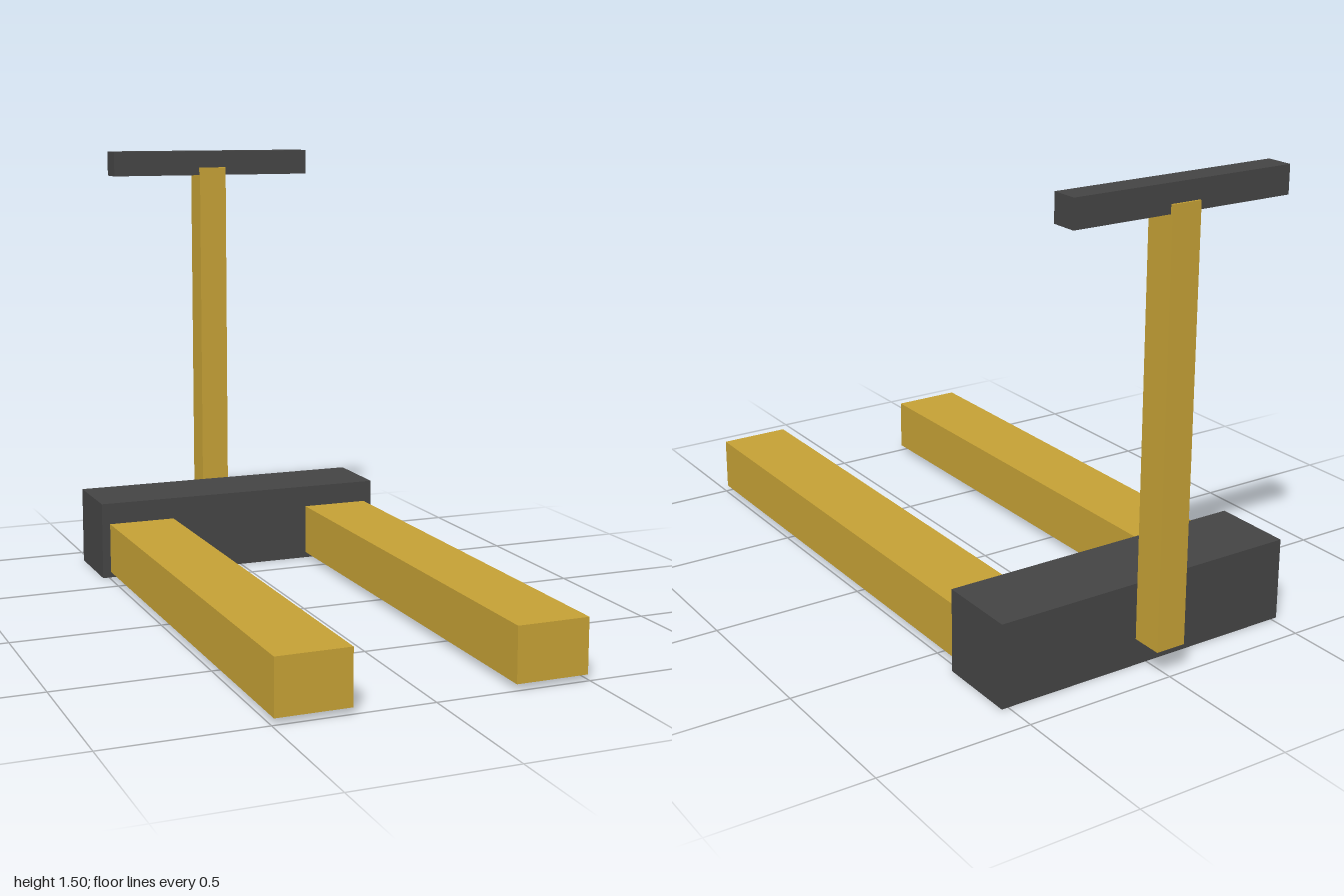
import * as THREE from 'three';

const yellow = new THREE.MeshStandardMaterial({ color: 0xc4a035 });
yellow.name = 'ochre yellow';
const charcoal = new THREE.MeshStandardMaterial({ color: 0x444444 });
charcoal.name = 'charcoal';

// Box given by its extents along each axis
function block(name, material, [x0, x1], [y0, y1], [z0, z1]) {
  const mesh = new THREE.Mesh(new THREE.BoxGeometry(x1 - x0, y1 - y0, z1 - z0), material);
  mesh.position.set((x0 + x1) / 2, (y0 + y1) / 2, (z0 + z1) / 2);
  mesh.name = name;
  return mesh;
}

export function createModel() {
  const model = new THREE.Group();
  model.name = 'palletJack';

  // Two long forks reaching forward from the body
  for (const [side, s] of [['left', 1], ['right', -1]]) {
    const fork = block(`${side}Fork`, yellow, [-0.118, 0.118], [0.02, 0.195], [-0.63, 1]);
    fork.position.x = s * 0.375;
    model.add(fork);
  }

  // Heavy body block at the rear
  model.add(block('body', charcoal, [-0.522, 0.522], [0, 0.27], [-0.887, -0.62]));

  // Upright mast standing just behind the body, with a crossbar handle
  model.add(block('mast', yellow, [-0.05, 0.05], [0.093, 1.44], [-1, -0.897]));
  model.add(block('handle', charcoal, [-0.374, 0.374], [1.412, 1.5], [-0.993, -0.906]));

  return model;
}
